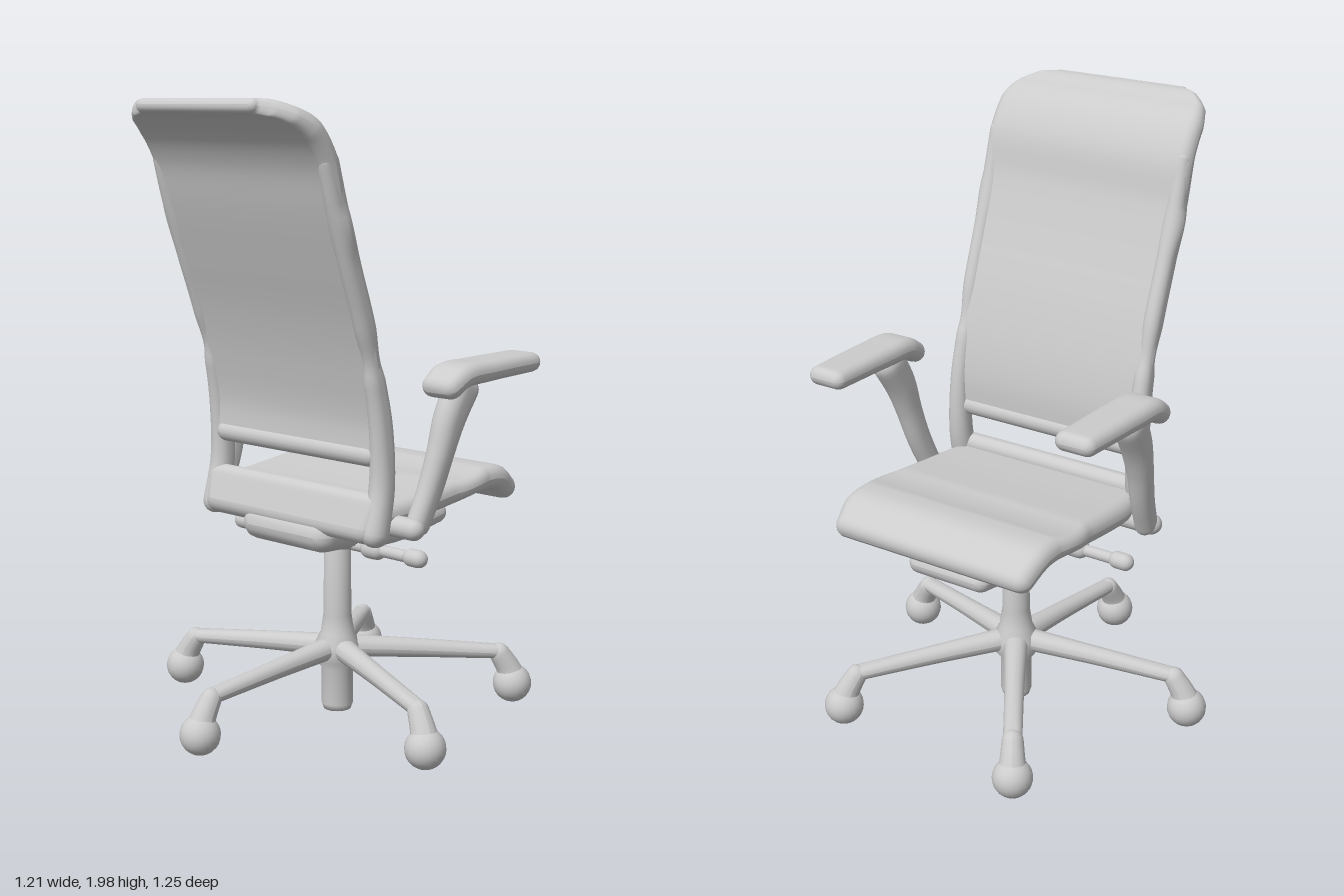
import * as THREE from 'three';

const material = new THREE.MeshStandardMaterial({ color: 0xcccccc, side: THREE.DoubleSide });

function add(parent, name, geometry, x = 0, y = 0, z = 0) {
  const mesh = new THREE.Mesh(geometry, material);
  mesh.name = name;
  mesh.position.set(x, y, z);
  parent.add(mesh);
  return mesh;
}

// Rounded bar swept along a path in the xy plane, with rounded ends.
// Each station is [x, y, half thickness, half width along z, z].
function sweep(stations, steps = 40) {
  const path = new THREE.CatmullRomCurve3(stations.map(s => new THREE.Vector3(s[0], s[1], s[4] ?? 0)));
  const size = new THREE.CatmullRomCurve3(stations.map(s => new THREE.Vector3(s[2], s[3], 0)));
  const capSteps = 5, cornerSteps = 5;
  const positions = [], index = [];
  let rings = 0, count = 0;

  function ring(t, capAngle, direction) {
    const p = path.getPoint(t), tangent = path.getTangent(t).setZ(0).normalize();
    const s = size.getPoint(t);
    const r = Math.min(s.x, s.y), inset = r * (1 - Math.cos(capAngle));
    const thick = s.x - inset, wide = s.y - inset, corner = Math.min(thick, wide);
    const push = direction * r * Math.sin(capAngle);
    count = 0;
    for (let q = 0; q < 4; q++) {
      const sn = q === 0 || q === 3 ? 1 : -1, sb = q < 2 ? 1 : -1;
      for (let k = 0; k <= cornerSteps; k++) {
        const a = (q + k / cornerSteps) * Math.PI / 2;
        const n = sn * (thick - corner) + corner * Math.cos(a);
        const b = sb * (wide - corner) + corner * Math.sin(a);
        positions.push(p.x + tangent.x * push - tangent.y * n,
          p.y + tangent.y * push + tangent.x * n, p.z + b);
        count++;
      }
    }
    rings++;
  }

  for (let i = capSteps; i > 0; i--) ring(0, i / capSteps * Math.PI / 2, -1);
  for (let i = 0; i <= steps; i++) ring(i / steps, 0, 0);
  for (let i = 1; i <= capSteps; i++) ring(1, i / capSteps * Math.PI / 2, 1);

  for (let i = 0; i < rings - 1; i++) {
    for (let j = 0; j < count; j++) {
      const a = i * count + j, b = i * count + (j + 1) % count;
      index.push(a, b, a + count, b, b + count, a + count);
    }
  }
  const geometry = new THREE.BufferGeometry();
  geometry.setAttribute('position', new THREE.Float32BufferAttribute(positions, 3));
  geometry.setIndex(index);
  geometry.computeVertexNormals();
  return geometry;
}

// Capsule lying along z
function crossRod(radius, length) {
  return new THREE.CapsuleGeometry(radius, length, 6, 16).rotateX(Math.PI / 2);
}

function buildBase() {
  const base = new THREE.Group();
  base.name = 'base';
  base.position.x = 0.05;

  // Gas column and hub as one turned profile
  const profile = [[0, 0.02], [0.045, 0.02], [0.052, 0.04], [0.052, 0.16], [0.075, 0.19],
    [0.075, 0.24], [0.055, 0.28], [0.046, 0.34], [0.043, 0.6], [0, 0.6]];
  add(base, 'column', new THREE.LatheGeometry(profile.map(p => new THREE.Vector2(...p)), 24));

  // Five spokes, each with a caster
  for (let i = 0; i < 5; i++) {
    const spoke = new THREE.Group();
    spoke.name = 'spoke';
    spoke.rotation.y = -THREE.MathUtils.degToRad(183 + i * 72);
    base.add(spoke);
    add(spoke, 'spokeArm', sweep([[0.03, 0.23, 0.036, 0.04], [0.28, 0.21, 0.03, 0.032],
      [0.53, 0.188, 0.023, 0.03]], 12));
    add(spoke, 'casterStem', sweep([[0.545, 0.18, 0.034, 0.034], [0.575, 0.13, 0.04, 0.04],
      [0.59, 0.09, 0.05, 0.05]], 10));
    add(spoke, 'casterWheel', new THREE.SphereGeometry(0.064, 20, 14), 0.59, 0.076, 0);
  }
  return base;
}

function buildMechanism() {
  const group = new THREE.Group();
  group.name = 'mechanism';
  add(group, 'tiltHousing', sweep([[0.0, 0.625, 0.045, 0.14], [0.2, 0.615, 0.04, 0.16],
    [0.41, 0.635, 0.036, 0.15]]));
  add(group, 'frontLink', sweep([[0.395, 0.64, 0.045, 0.14], [0.385, 0.75, 0.04, 0.16]], 8));
  add(group, 'rearBracket', sweep([[-0.165, 0.665, 0.055, 0.19], [-0.08, 0.665, 0.06, 0.2],
    [0.0, 0.635, 0.045, 0.15]], 16));
  add(group, 'leverRod', crossRod(0.019, 0.74), 0, 0.6, 0);
  for (const side of [1, -1]) {
    add(group, 'leverKnob', crossRod(0.028, 0.03), 0, 0.6, side * 0.37);
    add(group, 'leverCollar', crossRod(0.032, 0.03), 0, 0.6, side * 0.2);
  }
  return group;
}

function buildBack() {
  const back = new THREE.Group();
  back.name = 'backrest';

  // Curved panel, narrowing to rounded corners at the top
  add(back, 'backPanel', sweep([
    [-0.14, 0.925, 0.024, 0.36], [-0.14, 1.04, 0.024, 0.365], [-0.165, 1.18, 0.026, 0.367],
    [-0.21, 1.34, 0.026, 0.368], [-0.275, 1.52, 0.026, 0.37], [-0.33, 1.68, 0.028, 0.372],
    [-0.37, 1.82, 0.036, 0.374], [-0.43, 1.91, 0.036, 0.37], [-0.49, 1.95, 0.028, 0.345],
    [-0.53, 1.97, 0.025, 0.3], [-0.55, 1.975, 0.022, 0.25]], 70));

  // Side rails running down past the slot
  for (const side of [1, -1]) {
    add(back, 'sideRail', sweep([
      [-0.16, 0.7, 0.045, 0.04, 0.345], [-0.13, 0.84, 0.042, 0.036, 0.345],
      [-0.135, 1.02, 0.04, 0.03, 0.345], [-0.165, 1.18, 0.036, 0.028, 0.342],
      [-0.21, 1.34, 0.036, 0.028, 0.343], [-0.275, 1.52, 0.036, 0.028, 0.344],
      [-0.33, 1.68, 0.036, 0.028, 0.345], [-0.37, 1.82, 0.036, 0.025, 0.345],
    ].map(s => [...s.slice(0, 4), s[4] * side]), 50));
  }
  // Bars above and below the slot
  add(back, 'slotTopBar', crossRod(0.034, 0.62), -0.14, 0.935, 0);
  add(back, 'lowerBar', sweep([[-0.17, 0.71, 0.042, 0.36], [-0.15, 0.79, 0.034, 0.37]], 8));
  return back;
}

function buildArm(side) {
  const arm = new THREE.Group();
  arm.name = side > 0 ? 'leftArm' : 'rightArm';
  const z = v => v * side;
  add(arm, 'armPad', sweep([[0.01, 1.145, 0.035, 0.068, z(0.462)], [0.06, 1.172, 0.036, 0.073, z(0.462)],
    [0.18, 1.178, 0.033, 0.073, z(0.46)], [0.41, 1.18, 0.031, 0.068, z(0.455)]], 24));
  add(arm, 'armPost', sweep([[-0.055, 0.725, 0.04, 0.032, z(0.425)], [-0.01, 0.83, 0.043, 0.034, z(0.435)],
    [0.025, 0.94, 0.046, 0.038, z(0.445)], [0.06, 1.04, 0.055, 0.042, z(0.45)],
    [0.11, 1.13, 0.06, 0.045, z(0.455)]], 24));
  add(arm, 'armBracket', crossRod(0.034, 0.14), -0.08, 0.715, z(0.36));
  return arm;
}

export function createModel() {
  const chair = new THREE.Group();
  chair.name = 'officeChair';

  const body = new THREE.Group();
  body.name = 'chairBody';
  body.position.z = 0.01;
  chair.add(body);

  body.add(buildBase(), buildMechanism(), buildBack(), buildArm(1), buildArm(-1));

  // Seat cushion with a drooping front edge
  add(body, 'seat', sweep([[-0.12, 0.745, 0.042, 0.365], [0.0, 0.752, 0.042, 0.375],
    [0.2, 0.773, 0.04, 0.378], [0.36, 0.79, 0.04, 0.378], [0.44, 0.782, 0.042, 0.376],
    [0.5, 0.742, 0.04, 0.365]], 40));
  return chair;
}
